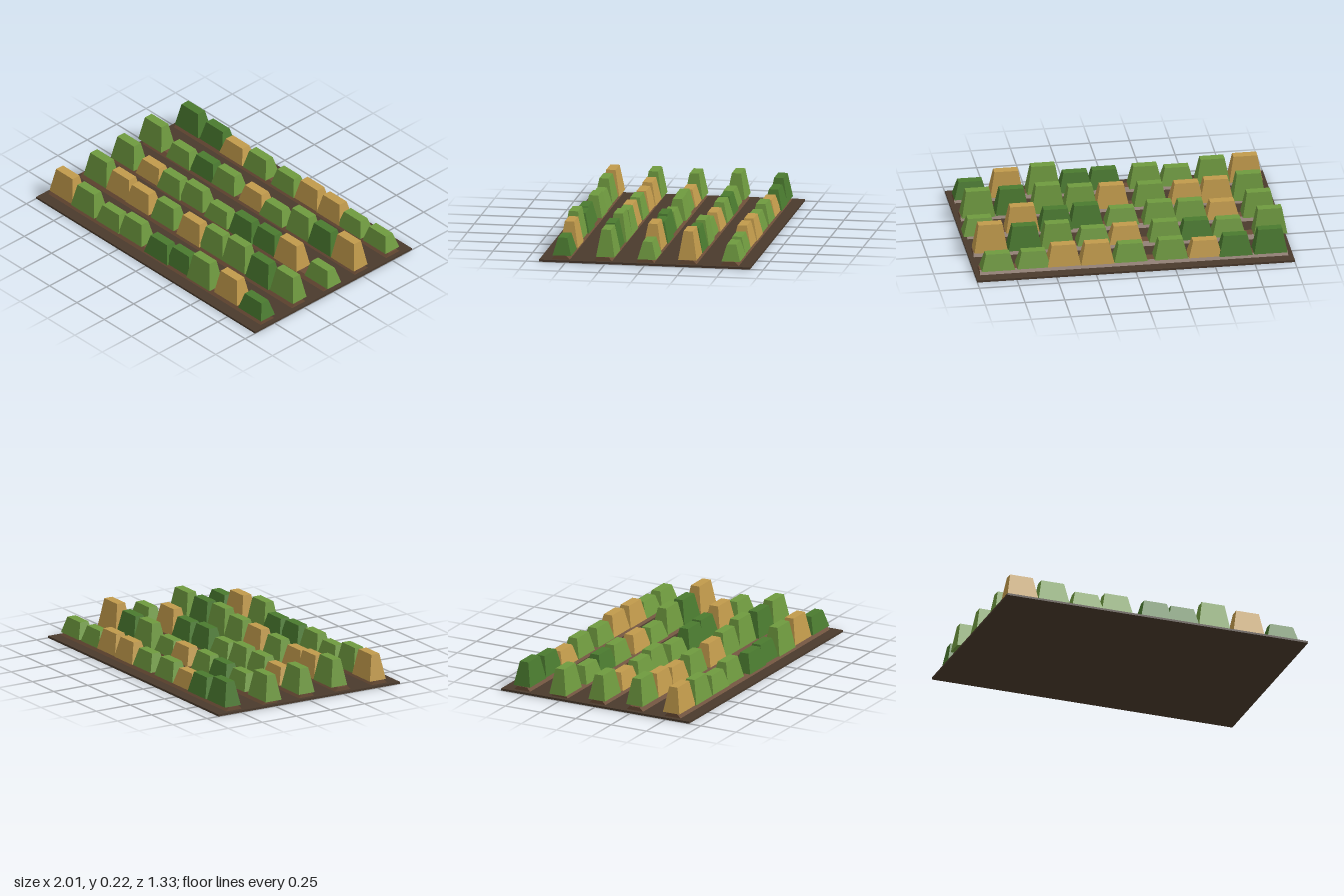
import * as THREE from 'three';

// Box standing on y = 0 whose top is narrowed by the factors tx and tz
function taperedBox(w, h, d, tx, tz) {
  const geo = new THREE.BoxGeometry(w, h, d).translate(0, h / 2, 0);
  const p = geo.attributes.position;
  for (let i = 0; i < p.count; i++) {
    if (p.getY(i) > h / 2) {
      p.setX(i, p.getX(i) * tx);
      p.setZ(i, p.getZ(i) * tz);
    }
  }
  geo.computeVertexNormals();
  return geo;
}

const mat = (color) => new THREE.MeshStandardMaterial({ color, flatShading: true });

// Crop rows from back to front: kind (d dark, g green, y yellow),
// x position, z offset from the ridge and top height, all in hundredths
const ROWS = [
  {
    kinds: 'ddyggyygg',
    x: [-86, -64, -45, -23.5, 2, 23, 44, 63, 85.5],
    dz: [-0.5, -1, 0, 0, 0, -0.5, 0, 0, -0.5],
    top: [19, 16.5, 14, 16, 15, 17, 17, 14, 14],
  },
  {
    kinds: 'ggdgyggdy',
    x: [-90, -64, -43.5, -24, 1, 21, 44, 64.5, 86],
    dz: [0.3, 1, -0.3, -0.3, -0.3, 1, -0.3, 0.2, 0.2],
    top: [20, 14.5, 15.5, 16, 15, 14, 19.5, 19, 21.5],
  },
  {
    kinds: 'gygggddyg',
    x: [-87, -64, -44, -24.5, -1, 21.5, 41, 62, 89],
    dz: [-0.2, 0, 0.8, -0.5, 0.8, 0.8, -0.8, 0, -1.3],
    top: [19.5, 14.5, 16, 17, 14, 17.5, 17, 20, 14.5],
  },
  {
    kinds: 'gyygyggdg',
    x: [-84.5, -64, -45.5, -22.5, 1.5, 21.5, 42, 64.5, 86],
    dz: [-1.5, -1.3, -0.7, -0.7, -0.3, -1.3, -1.3, -0.3, -1.3],
    top: [20.5, 18, 16.5, 17.5, 18, 19, 21.3, 20, 20.5],
  },
  {
    kinds: 'ygggddgyd',
    x: [-86.5, -66, -43.5, -23.5, 2, 20.5, 40.5, 64, 86.5],
    dz: [-1, -0.2, -0.4, -1, 0.9, -0.6, 0.6, -1, -0.6],
    top: [20, 19, 15, 17.5, 16, 16, 21.3, 20, 14.5],
  },
];

export function createModel() {
  const field = new THREE.Group();
  field.name = 'cropField';

  const soil = mat(0x4a3a2c);
  const ridgeSoil = mat(0x6b4d36);
  const leaves = { d: mat(0x4a7a2f), g: mat(0x6f9a3f), y: mat(0xc19a4b) };

  const slabTop = 0.013;
  const ridgeTop = 0.037;

  // Soil slab
  const slab = new THREE.Mesh(taperedBox(2, slabTop, 1.333, 1, 1), soil);
  slab.name = 'soilSlab';
  field.add(slab);

  const ridgeGeo = taperedBox(1.94, ridgeTop - slabTop, 0.114, 1, 0.6);

  ROWS.forEach((row, r) => {
    const group = new THREE.Group();
    group.name = `cropRow${r + 1}`;
    group.position.z = (r - 2) * 0.2667;
    field.add(group);

    // Raised soil ridge
    const ridge = new THREE.Mesh(ridgeGeo, ridgeSoil);
    ridge.name = 'soilRidge';
    ridge.position.y = slabTop;
    group.add(ridge);

    // Tapered plants along the ridge
    row.x.forEach((x, i) => {
      const height = row.top[i] / 100 - ridgeTop;
      const plant = new THREE.Mesh(taperedBox(0.21, height, 0.117, 0.72, 0.5), leaves[row.kinds[i]]);
      plant.name = `plant${i + 1}`;
      plant.position.set(x / 100, ridgeTop, row.dz[i] / 100);
      group.add(plant);
    });
  });

  return field;
}
